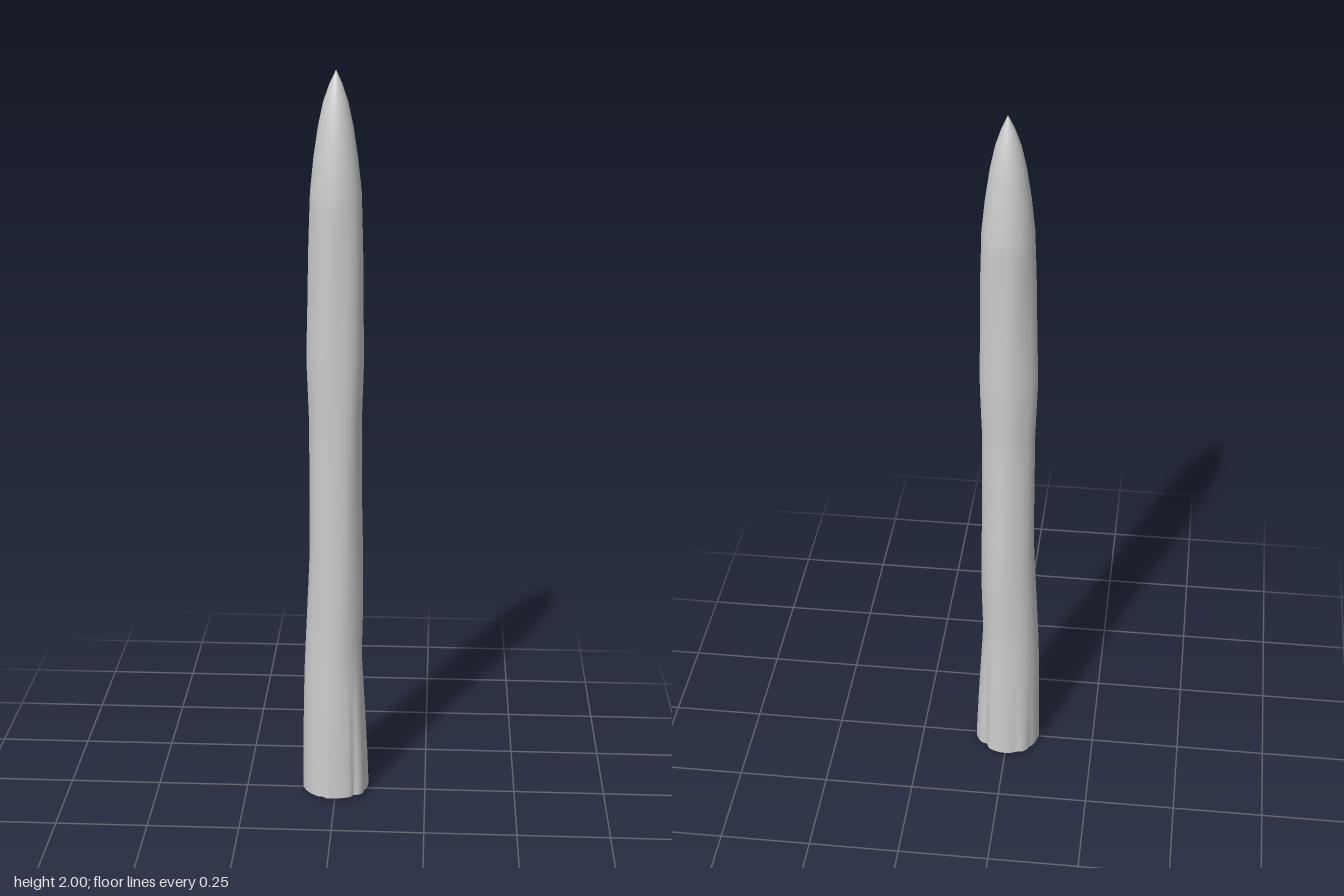
import * as THREE from 'three';

const SIDES = 72;

// Height, then the radius towards +x, +z, -x and -z
const SECTIONS = [
  [0.01, 0.078, 0.078, 0.091, 0.084],
  [0.2, 0.073, 0.075, 0.089, 0.082],
  [0.4, 0.07, 0.073, 0.086, 0.08],
  [0.55, 0.073, 0.073, 0.08, 0.08],
  [0.7, 0.072, 0.073, 0.073, 0.079],
  [0.85, 0.069, 0.072, 0.072, 0.073],
  [1.08, 0.068, 0.07, 0.072, 0.068],
  [1.25, 0.074, 0.069, 0.078, 0.069],
  [1.4, 0.072, 0.068, 0.074, 0.068],
  [1.55, 0.071, 0.067, 0.071, 0.068],
  [1.69, 0.066, 0.066, 0.067, 0.069],
  [1.78, 0.056, 0.056, 0.058, 0.058],
  [1.86, 0.044, 0.044, 0.046, 0.046],
  [1.92, 0.031, 0.031, 0.033, 0.033],
  [1.965, 0.016, 0.016, 0.017, 0.017],
  [2.0, 0, 0, 0, 0],
];

// Radius of the flared foot every 15 degrees, turning from +x towards +z
const FOOT = [
  0.09, 0.09, 0.092, 0.092, 0.088, 0.087, 0.087, 0.092, 0.09, 0.09, 0.091, 0.092,
  0.092, 0.092, 0.093, 0.096, 0.096, 0.093, 0.093, 0.092, 0.092, 0.089, 0.092, 0.094,
];

// Splits in the foot: angle in degrees, depth, height reached
const SPLITS = [
  [50, 0.009, 0.4], [112, 0.006, 0.36], [22, 0.004, 0.33],
  [-48, 0.008, 0.4], [-112, 0.004, 0.3], [-140, 0.004, 0.3],
];

function sectionAt(y) {
  let i = 0;
  while (i < SECTIONS.length - 2 && y > SECTIONS[i + 1][0]) i++;
  const a = SECTIONS[i], b = SECTIONS[i + 1];
  const t = (y - a[0]) / (b[0] - a[0]);
  return a.map((v, k) => v + (b[k] - v) * t);
}

function radiusAt(y, angle) {
  const [, px, pz, nx, nz] = sectionAt(y);
  const c = Math.cos(angle), s = Math.sin(angle);
  let r = (c > 0 ? px : nx) * c * c + (s > 0 ? pz : nz) * s * s;

  // Flare into the uneven foot
  const turn = ((angle / (Math.PI * 2)) % 1) * FOOT.length;
  const k = Math.floor(turn);
  const foot = THREE.MathUtils.lerp(FOOT[k % FOOT.length], FOOT[(k + 1) % FOOT.length], turn - k);
  r = THREE.MathUtils.lerp(r, foot, Math.max(0, 1 - y / 0.42));

  // Narrow splits fading upwards
  for (const [deg, depth, top] of SPLITS) {
    let d = angle - THREE.MathUtils.degToRad(deg);
    d = Math.atan2(Math.sin(d), Math.cos(d));
    r -= depth * Math.exp(-((d / 0.09) ** 2)) * Math.max(0, 1 - y / top);
  }

  // Shallow hewn waviness along the shaft
  const shaft = THREE.MathUtils.smoothstep(y, 0.3, 0.6) * (1 - THREE.MathUtils.smoothstep(y, 1.5, 1.75));
  return r + 0.0012 * shaft * Math.sin(5 * angle + 3 * y);
}

// Skins rings given as [height, scale of the radius, height used for the outline]
function skin(rings) {
  const pos = [], index = [];
  rings.forEach(([y, scale, outlineY], j) => {
    for (let i = 0; i <= SIDES; i++) {
      const angle = ((i % SIDES) / SIDES) * Math.PI * 2;
      const r = radiusAt(outlineY, angle) * scale;
      pos.push(r * Math.cos(angle), y, r * Math.sin(angle));
      if (j < rings.length - 1 && i < SIDES) {
        const a = j * (SIDES + 1) + i, b = a + SIDES + 1;
        index.push(a, b, a + 1, b, b + 1, a + 1);
      }
    }
  });
  const geometry = new THREE.BufferGeometry();
  geometry.setAttribute('position', new THREE.Float32BufferAttribute(pos, 3));
  geometry.setIndex(index);
  geometry.computeVertexNormals();
  // Match the normals on both sides of the seam
  const n = geometry.attributes.normal;
  const a = new THREE.Vector3(), b = new THREE.Vector3();
  for (let j = 0; j < rings.length; j++) {
    const first = j * (SIDES + 1), last = first + SIDES;
    a.fromBufferAttribute(n, first).add(b.fromBufferAttribute(n, last)).normalize();
    n.setXYZ(first, a.x, a.y, a.z);
    n.setXYZ(last, a.x, a.y, a.z);
  }
  return geometry;
}

export function createModel() {
  const group = new THREE.Group();
  group.name = 'woodenStake';
  const material = new THREE.MeshStandardMaterial({ color: 0xcccccc, roughness: 0.85 });
  const add = (name, rings) => {
    const mesh = new THREE.Mesh(skin(rings), material);
    mesh.name = name;
    group.add(mesh);
  };

  const ring = (y) => [y, 1, y];
  const shaftRings = [];
  for (let i = 0; i <= 36; i++) shaftRings.push(ring(0.01 + (1.68 * i) / 36));
  const tipRings = SECTIONS.filter(([y]) => y > 1.69).map(([y]) => ring(y));

  // Hewn shaft running into the sharpened tip
  add('shaftAndTip', [...shaftRings, ...tipRings]);
  // Slightly domed underside
  add('underside', [[0, 0, 0.01], [0.002, 0.5, 0.01], [0.005, 0.85, 0.01], [0.01, 1, 0.01]]);
  return group;
}
